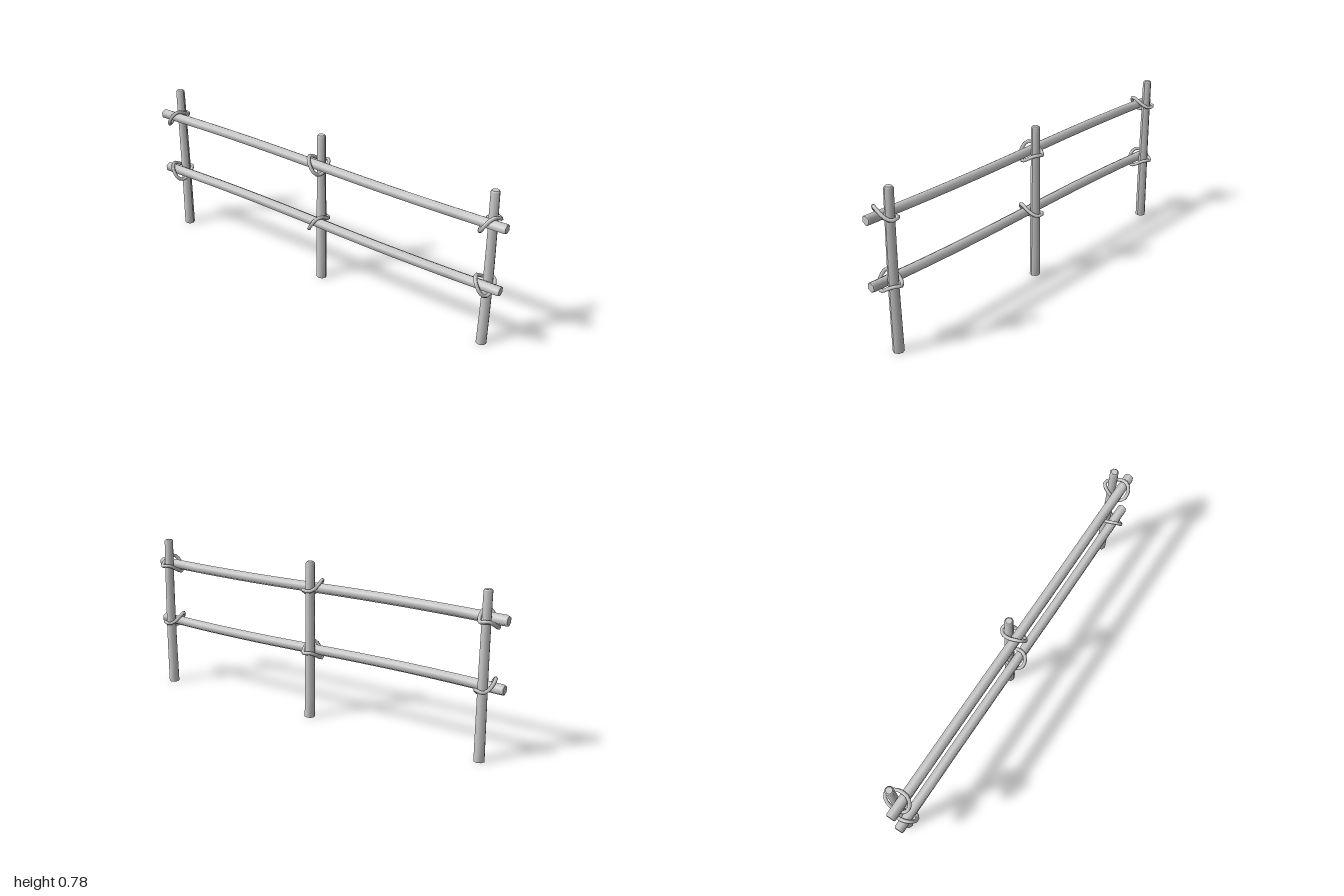
import * as THREE from 'three';

const material = new THREE.MeshStandardMaterial({ color: 0xcccccc });

// Pole along +y from 0 to length, with a bevelled tip and a sideways bend given by a rule
function poleGeometry(r0, r1, length, sides, rows, bevel0, bevel1, bend) {
  const g = new THREE.CylinderGeometry(1, 1, length, sides, rows, false, Math.PI / 2);
  g.translate(0, length / 2, 0);
  const p = g.attributes.position;
  const step = length / rows;
  for (let i = 0; i < p.count; i++) {
    const t = p.getY(i) / length;
    let r = THREE.MathUtils.lerp(r0, r1, t);
    let y = p.getY(i);
    if (t < 0.001) r *= bevel0;
    else if (t > 0.999) r *= bevel1;
    // Pull the rows next to the ends outwards to form small bevels
    else if (bevel0 < 1 && y < step * 1.01) y = 0.007;
    else if (bevel1 < 1 && y > length - step * 1.01) y = length - 0.007;
    p.setXYZ(i, p.getX(i) * r + bend(y / length), y, p.getZ(i) * r);
  }
  g.computeVertexNormals();
  return g;
}

// Rope loop whose front strand runs diagonally over the rail and which closes behind the post
class LashingCurve extends THREE.Curve {
  constructor(tilt) {
    super();
    this.tilt = tilt;
  }
  getPoint(u, target = new THREE.Vector3()) {
    const a = u * Math.PI * 2;
    const c = Math.cos(a), s = Math.sin(a);
    return target.set(0.037 * c, this.tilt * c * (0.027 + 0.036 * s), 0.062 * s);
  }
}

export function createModel() {
  const group = new THREE.Group();
  const add = (geometry, name, x, y, z) => {
    const mesh = new THREE.Mesh(geometry, material);
    mesh.name = name;
    mesh.position.set(x, y, z);
    group.add(mesh);
    return mesh;
  };

  // Upright posts, each slightly bent
  const posts = [
    { name: 'rightPost', x: -0.918, bend: t => 0.002 * Math.sin(t * Math.PI) },
    { name: 'middlePost', x: 0, bend: t => -0.003 * t },
    { name: 'leftPost', x: 0.911, bend: t => 0.005 * Math.sin(t * Math.PI) - 0.004 * t },
  ];
  for (const { name, x, bend } of posts) {
    add(poleGeometry(0.026, 0.021, 0.782, 8, 8, 1, 0.75, bend), name, x, 0, -0.024);
  }

  // Wavy horizontal rails
  const rails = [
    { name: 'upperRail', y: 0.645, bend: t => 0.006 * Math.sin(t * Math.PI * 2) },
    { name: 'lowerRail', y: 0.335, bend: t => 0.007 * Math.sin(t * Math.PI * 2) },
  ];
  for (const { name, y, bend } of rails) {
    const g = poleGeometry(0.026, 0.025, 2, 6, 16, 0.85, 0.85, t => -bend(t));
    g.rotateZ(-Math.PI / 2);
    add(g, name, -1, y, 0.021);
  }

  // Rope lashings with alternating tilt at every crossing
  posts.forEach((post, i) => rails.forEach((rail, j) => {
    const tilt = (i + j) % 2 === 0 ? 1 : -1;
    const g = new THREE.TubeGeometry(new LashingCurve(tilt), 20, 0.009, 6, true);
    add(g, 'lashing', post.x, rail.y, 0);
  }));

  return group;
}
